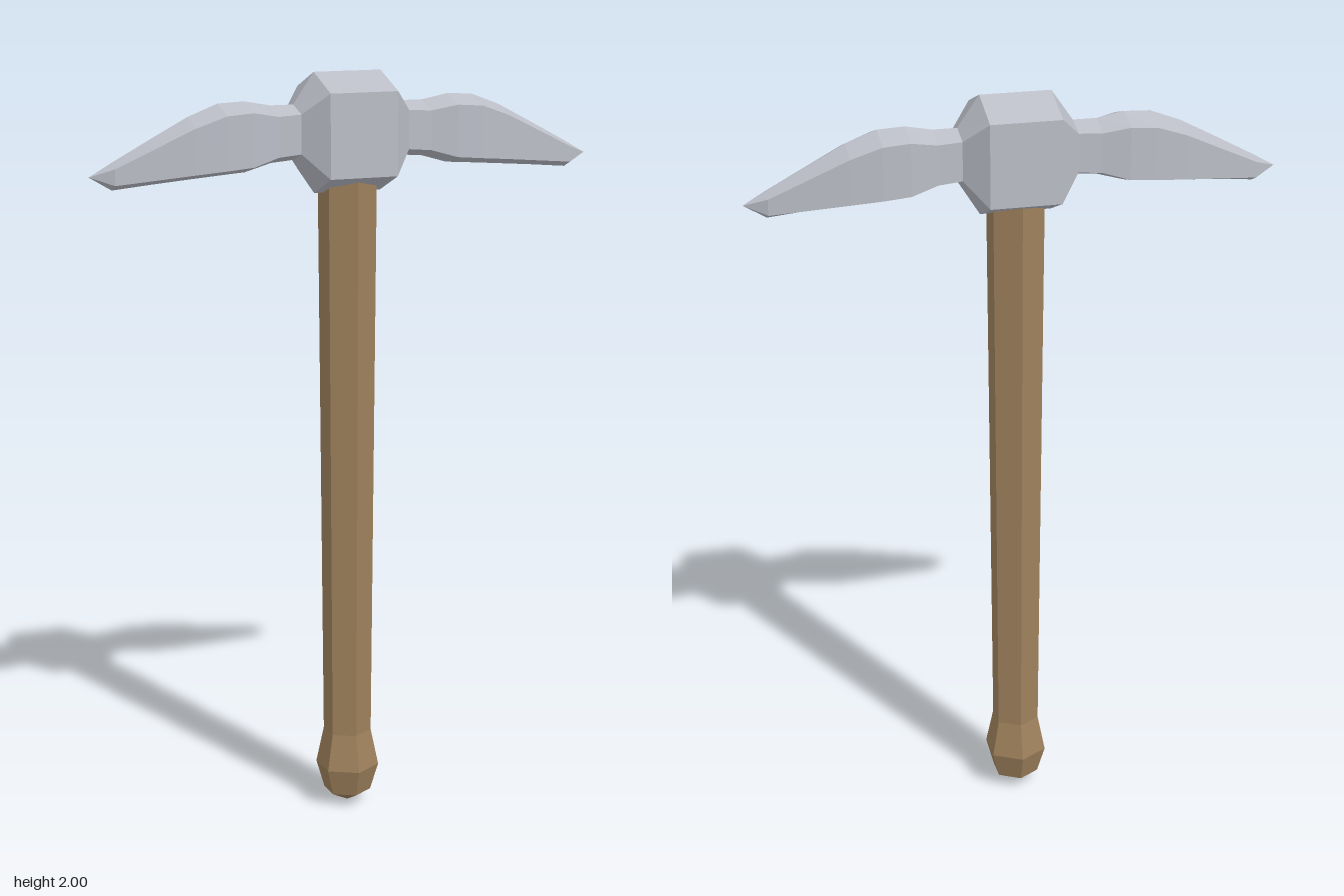
import * as THREE from 'three';

// Each section is [x, ridge y, shoulder y, lower edge y, keel y, half depth z].
function loft(sections) {
  const rings = sections.map(([x, top, shoulder, lower, keel, z]) => [
    [x, top, 0], [x, shoulder, z], [x, lower, z],
    [x, keel, 0], [x, lower, -z], [x, shoulder, -z],
  ]);
  const positions = [];
  for (let i = 0; i < rings.length - 1; i++) {
    for (let j = 0; j < 6; j++) {
      const k = (j + 1) % 6;
      const a = rings[i][j], b = rings[i][k], c = rings[i + 1][k], d = rings[i + 1][j];
      positions.push(...a, ...b, ...c, ...a, ...c, ...d);
    }
  }
  const geometry = new THREE.BufferGeometry();
  geometry.setAttribute('position', new THREE.Float32BufferAttribute(positions, 3));
  geometry.computeVertexNormals();
  return geometry;
}

const mirrorX = (sections) => sections.map(([x, ...rest]) => [-x, ...rest]).reverse();

export function createModel() {
  const wood = new THREE.MeshStandardMaterial({ name: 'wood', color: 0x9e815c, flatShading: true });
  const steel = new THREE.MeshStandardMaterial({ name: 'steel', color: 0xbabdc6, flatShading: true });

  const model = new THREE.Group();
  model.name = 'pickaxe';
  const add = (name, geometry, material) => {
    const mesh = new THREE.Mesh(geometry, material);
    mesh.name = name;
    model.add(mesh);
  };

  // Six-sided handle with a swollen pommel and a shallow pointed base
  const profile = [[0, 0], [0.064, 0.035], [0.086, 0.11], [0.065, 0.21], [0.077, 1.74]]
    .map(([r, y]) => new THREE.Vector2(r, y));
  add('handle', new THREE.LatheGeometry(profile, 6), wood);

  // Six-sided head block, chamfered down to the necks of the blades
  const neck = [0.148, 1.92, 1.9, 1.8, 1.78, 0.058];
  const shoulder = [0.092, 2, 1.955, 1.74, 1.692, 0.115];
  add('headBlock', loft([...mirrorX([shoulder, neck]), shoulder, neck]), steel);

  // Two mirrored blades, swelling past the neck and drooping to a point
  const blade = [
    neck,
    [0.21, 1.92, 1.897, 1.795, 1.775, 0.061],
    [0.28, 1.933, 1.91, 1.775, 1.755, 0.073],
    [0.35, 1.93, 1.905, 1.769, 1.75, 0.073],
    [0.43, 1.9, 1.877, 1.762, 1.744, 0.064],
    [0.53, 1.848, 1.83, 1.752, 1.736, 0.049],
    [0.63, 1.795, 1.783, 1.742, 1.727, 0.033],
    [0.688, 1.762, 1.762, 1.762, 1.762, 0],
  ];
  add('leftBlade', loft(blade), steel);
  add('rightBlade', loft(mirrorX(blade)), steel);

  return model;
}
